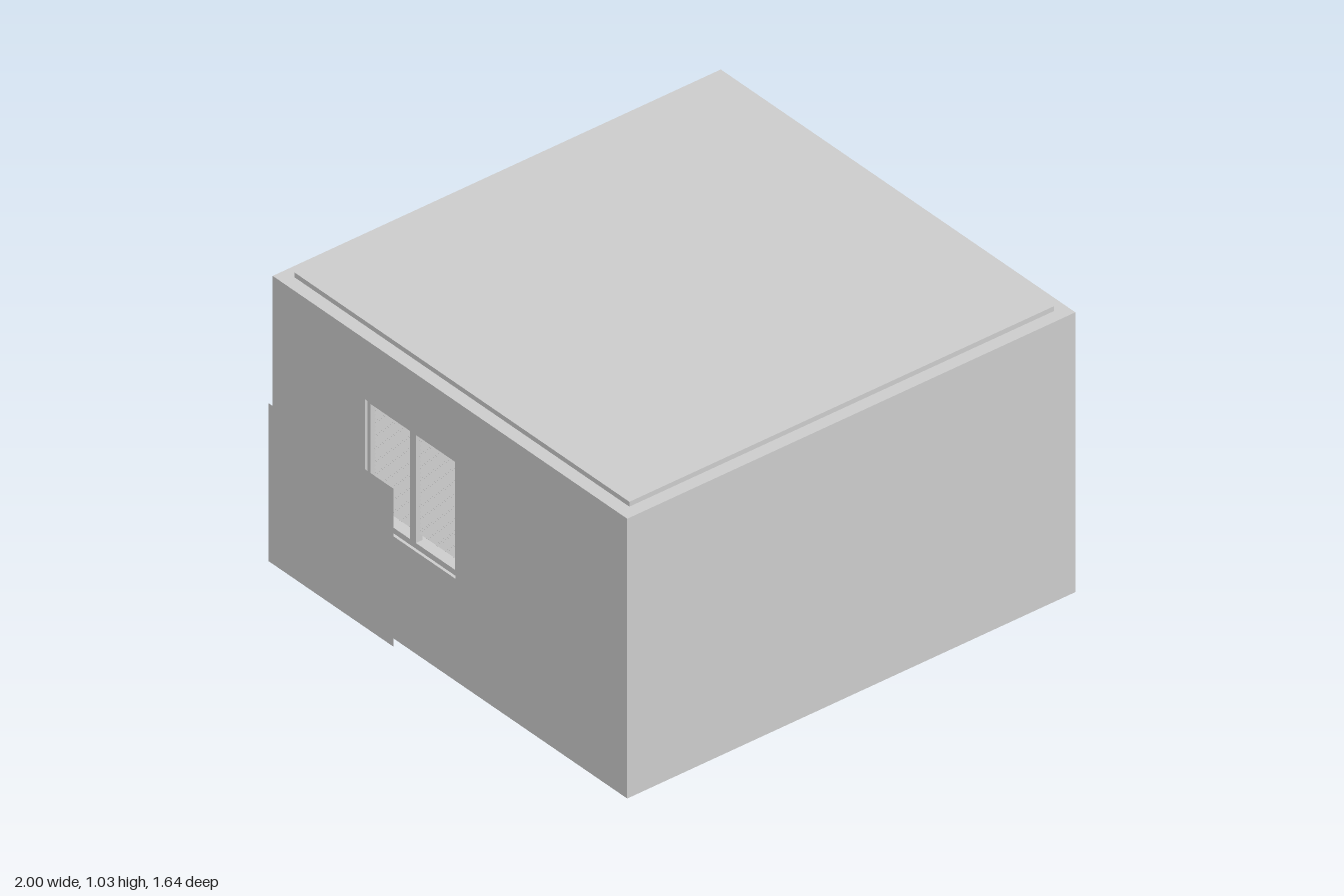
import * as THREE from 'three';

const mat = new THREE.MeshStandardMaterial({ color: 0xcccccc });
const thinMat = new THREE.MeshStandardMaterial({ color: 0xcccccc, side: THREE.DoubleSide });

// Box given by its extents along each axis
function box(name, [x0, x1], [y0, y1], [z0, z1]) {
  const m = new THREE.Mesh(new THREE.BoxGeometry(x1 - x0, y1 - y0, z1 - z0), mat);
  m.position.set((x0 + x1) / 2, (y0 + y1) / 2, (z0 + z1) / 2);
  m.name = name;
  return m;
}

// Upright sheet facing -x
function sheet(name, x, [y0, y1], [z0, z1]) {
  const m = new THREE.Mesh(new THREE.PlaneGeometry(z1 - z0, y1 - y0), thinMat);
  m.rotation.y = -Math.PI / 2;
  m.position.set(x, (y0 + y1) / 2, (z0 + z1) / 2);
  m.name = name;
  return m;
}

function rect(path, [a0, a1], [b0, b1]) {
  return path.moveTo(a0, b0).lineTo(a1, b0).lineTo(a1, b1).lineTo(a0, b1).closePath();
}

export function createModel() {
  const model = new THREE.Group();
  model.name = 'room';

  const T = 0.045;                       // wall thickness
  const X = [-0.7, 1], Z = [-0.82, 0.82], Y = [0.018, 1.01];
  const inX = [X[0] + T, X[1] - T], inZ = [Z[0] + T, Z[1] - T];
  const winZ = [-0.393, 0.025], winY = [0.38, 0.797];

  // Plain walls
  model.add(
    box('frontWall', [inX[0], X[1]], Y, [inZ[1], Z[1]]),
    box('backWall', [inX[0], X[1]], Y, [Z[0], inZ[0]]),
    box('leftWall', [inX[1], X[1]], Y, inZ)
  );

  // Wall with the window opening
  const outline = rect(new THREE.Shape(), Z, Y);
  outline.holes.push(rect(new THREE.Path(), winZ, winY));
  const windowWall = new THREE.Mesh(
    new THREE.ExtrudeGeometry(outline, { depth: T, bevelEnabled: false }), mat);
  windowWall.rotation.y = -Math.PI / 2;
  windowWall.position.x = inX[0];
  windowWall.name = 'windowWall';
  model.add(windowWall);

  // Floor and ceiling slabs, standing slightly proud of the walls
  model.add(
    box('floor', inX, [0, 0.03], inZ),
    box('ceiling', inX, [0.99, 1.027], inZ)
  );

  // Window frame with a central mullion
  const win = new THREE.Group();
  win.name = 'window';
  const F = 0.014, fx = [-0.69, -0.665], mid = (winZ[0] + winZ[1]) / 2;
  win.add(
    box('frameSide', fx, winY, [winZ[0], winZ[0] + F]),
    box('frameSide', fx, winY, [winZ[1] - F, winZ[1]]),
    box('mullion', fx, winY, [mid - F, mid + F]),
    box('frameTop', fx, [winY[1] - F, winY[1]], winZ),
    box('frameBottom', fx, [winY[0], winY[0] + 0.02], winZ)
  );

  // Tilted blind slats behind each pane
  const count = 26, y0 = winY[0] + 0.045, pitch = (winY[1] - F - y0) / count;
  for (const [a, b] of [[winZ[0] + F, mid - F], [mid + F, winZ[1] - F]]) {
    for (let i = 0; i < count; i++) {
      const y = y0 + (i + 0.5) * pitch;
      const slat = box('blindSlat', [-0.678, -0.662], [y - 0.001, y + 0.001], [a, b]);
      slat.rotation.z = 0.7;
      win.add(slat);
    }
  }
  model.add(win);

  // Sheets standing outside the window
  model.add(
    sheet('outerPanel', -1, [0.31, 0.87], [-0.473, 0.105]),
    sheet('smallPanel', -0.98, [0.65, 0.77], [-0.16, 0.04])
  );

  return model;
}
